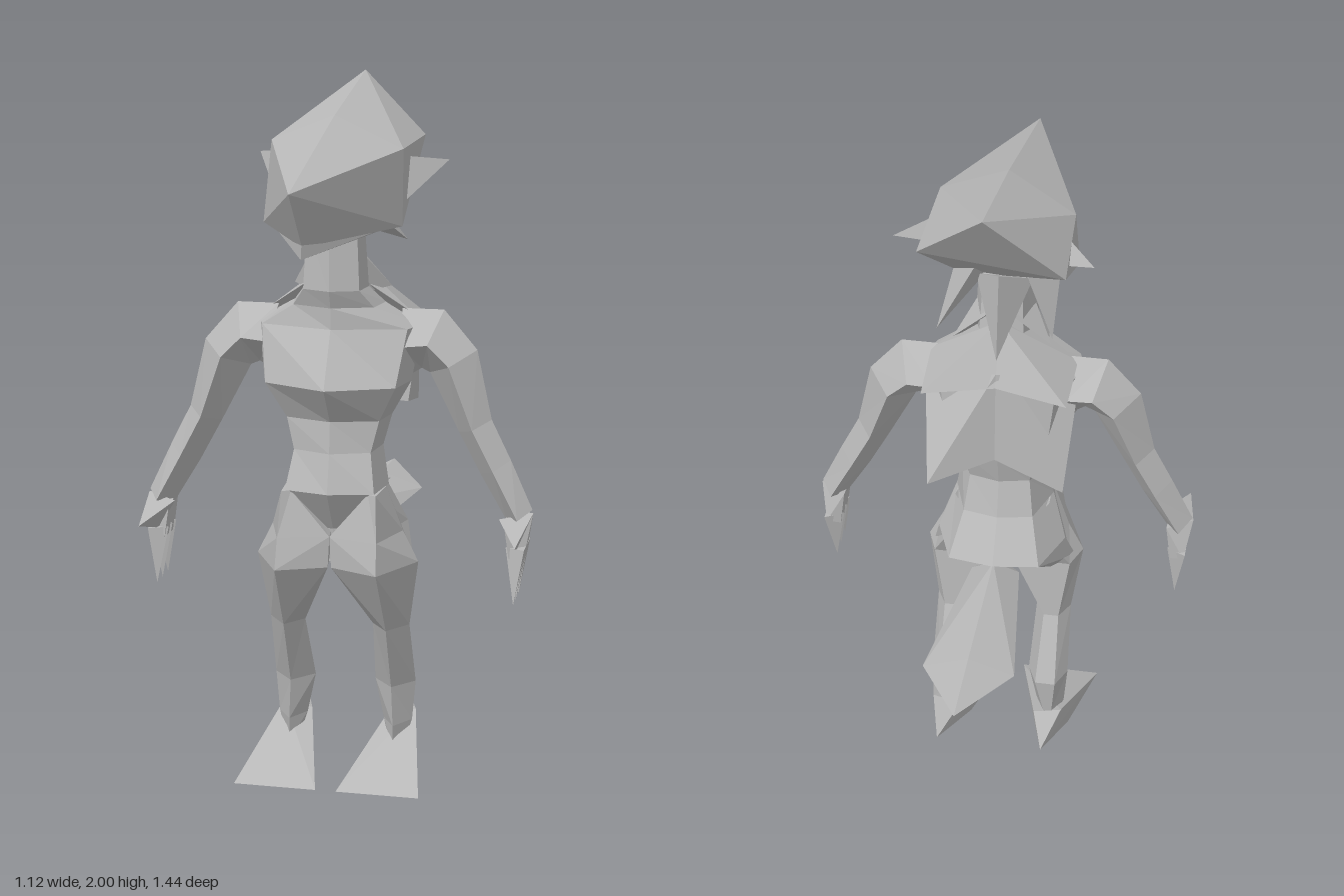
import * as THREE from 'three';
import { ConvexGeometry } from 'three/addons/geometries/ConvexGeometry.js';

const V = (p) => new THREE.Vector3(...p);

// Faceted skin over a list of rings (arrays of [x, y, z]), capped at both ends
function loft(rings) {
  const tris = [];
  const n = rings[0].length;
  for (let r = 0; r + 1 < rings.length; r++) {
    for (let i = 0; i < n; i++) {
      const j = (i + 1) % n;
      const [a, b, c, d] = [rings[r][i], rings[r][j], rings[r + 1][j], rings[r + 1][i]];
      tris.push([a, b, c], [a, c, d]);
    }
  }
  const last = rings[rings.length - 1];
  for (let i = 1; i + 1 < n; i++) {
    tris.push([rings[0][0], rings[0][i + 1], rings[0][i]], [last[0], last[i], last[i + 1]]);
  }
  // Turn the faces outward if the enclosed volume comes out negative
  let volume = 0;
  for (const [a, b, c] of tris) volume += V(a).dot(V(b).cross(V(c)));
  if (volume < 0) tris.forEach((t) => t.reverse());
  const g = new THREE.BufferGeometry();
  g.setAttribute('position', new THREE.Float32BufferAttribute(tris.flat(2), 3));
  g.computeVertexNormals();
  return g;
}

// Faceted solid around a few corner points
const hull = (points) => new ConvexGeometry(points.map(V));

export function createModel() {
  const model = new THREE.Group();
  model.name = 'creature';
  const grey = new THREE.MeshStandardMaterial({ color: 0xb8b8b8 });
  grey.name = 'grey';
  const add = (name, geometry) => {
    const m = new THREE.Mesh(geometry, grey);
    m.name = name;
    model.add(m);
  };

  // Torso and neck: y, half width, front z, front corner z, side z, back z
  const torso = [
    [1.62, 0.08, 0.24, 0.21, 0.15, 0.05],
    [1.44, 0.09, 0.25, 0.22, 0.14, 0.02],
    [1.39, 0.13, 0.23, 0.19, 0.1, -0.02],
    [1.33, 0.235, 0.23, 0.18, 0.1, -0.04],
    [1.175, 0.21, 0.32, 0.24, 0.13, -0.05],
    [1.07, 0.15, 0.24, 0.2, 0.1, -0.02],
    [0.98, 0.125, 0.25, 0.21, 0.1, 0],
    [0.87, 0.145, 0.28, 0.25, 0.12, -0.03],
    [0.75, 0.19, 0.2, 0.16, 0.06, -0.11],
    [0.65, 0.215, 0.19, 0.16, 0.11, 0.02],
  ];
  add('torso', loft(torso.map(([y, w, f, c, s, b]) => [
    [0, y, f], [w * 0.88, y, c], [w, y, s], [w * 0.7, y, b + 0.02],
    [0, y, b], [-w * 0.7, y, b + 0.02], [-w, y, s], [-w * 0.88, y, c],
  ])));

  // Wedge-shaped head with a long snout and a raised, slightly uneven rear crest
  add('head', hull([
    [0, 2, -0.25], [0, 1.915, 0.17], [0, 1.775, 0.72], [0, 1.615, 0.57], [0, 1.62, 0.1],
    [0.195, 1.83, -0.15], [0.195, 1.83, 0.19], [-0.195, 1.74, -0.08], [-0.195, 1.835, 0.1],
    ...[1, -1].flatMap((s) => [[s * 0.195, 1.62, 0.2], [s * 0.15, 1.61, 0.13]]),
  ]));
  add('jaw', hull([
    [0, 1.585, 0.585], [0, 1.63, 0.575], [0, 1.575, 0.2],
    ...[1, -1].flatMap((s) => [[s * 0.17, 1.625, 0.22], [s * 0.13, 1.6, 0.14]]),
  ]));

  // Tail
  add('tail', hull([
    [0, 0.72, -0.72], [0, 0.635, -0.5], [0, 0.735, -0.5],
    [0.13, 0.69, -0.5], [-0.13, 0.69, -0.5],
    [0.07, 0.69, -0.05], [-0.07, 0.69, -0.05], [0, 0.75, -0.09], [0, 0.65, 0.05],
  ]));

  // Strand of hair down the nape
  add('napeHair', hull([
    [0, 1.43, -0.04], [0.08, 1.62, 0.1], [-0.08, 1.62, 0.1], [0, 1.68, 0],
  ]));

  // Leg rings: y, inner x, ridge x, outer x, front z, outer z, inner z, back z
  const leg = [
    [0.87, 0.11, 0.135, 0.143, 0.265, 0.15, 0.25, 0.06],
    [0.74, 0, 0.142, 0.19, 0.29, 0.14, 0.25, 0.02],
    [0.65, 0.005, 0.145, 0.235, 0.31, 0.14, 0.25, 0.06],
    [0.45, 0.1, 0.15, 0.205, 0.185, 0.11, 0.12, 0.05],
    [0.25, 0.09, 0.15, 0.21, 0.1, 0.03, 0.03, -0.04],
    [0.13, 0.115, 0.155, 0.2, 0.1, 0.03, 0.03, -0.03],
    [0.06, 0.135, 0.155, 0.18, 0.1, 0.05, 0.05, 0],
  ];
  // Arm rings with a diamond section: center x, y, z, half thickness, half depth
  const arm = [
    [0.19, 1.28, 0.1, 0.095, 0.09],
    [0.265, 1.29, 0.1, 0.09, 0.1],
    [0.325, 1.23, 0.105, 0.075, 0.09],
    [0.39, 1.05, 0.115, 0.05, 0.065],
    [0.45, 0.935, 0.12, 0.048, 0.062],
    [0.522, 0.8, 0.13, 0.04, 0.06],
  ];
  const armRings = arm.map(([x, y, z, t, d], i) => {
    const a = arm[Math.max(i - 1, 0)];
    const b = arm[Math.min(i + 1, arm.length - 1)];
    const angle = Math.atan2(b[1] - a[1], b[0] - a[0]) + Math.PI / 2;
    return Array.from({ length: 4 }, (_, k) => {
      const q = (k * Math.PI) / 2;
      const r = t * Math.cos(q);
      return [x + Math.cos(angle) * r, y + Math.sin(angle) * r, z + d * Math.sin(q)];
    });
  });

  for (const s of [1, -1]) {
    const side = s > 0 ? 'left' : 'right';
    const flip = (pts) => pts.map(([x, y, z]) => [s * x, y, z]);
    const part = (name, pts) => add(side + name, hull(flip(pts)));

    // Legs and long flat feet
    add(side + 'Leg', loft(leg.map(([y, xi, xf, xo, zf, zo, zi, zb]) => flip([
      [xf, y, zf], [xo, y, zo], [xo - 0.03, y, zb], [xi + 0.03, y, zb], [xi, y, zi],
    ]))));
    part('Foot', [
      [0.03, 0, 0.31], [0.27, 0, 0.31], [0.1, 0, 0.07], [0.21, 0, 0.07],
      [0.16, 0.11, -0.185], [0.115, 0.12, -0.03], [0.2, 0.14, -0.03], [0.155, 0.068, 0.1],
    ]);

    // Arms, palms and claws
    add(side + 'Arm', loft(armRings.map(flip)));
    part('Palm', [
      [0.485, 0.8, 0.09], [0.56, 0.81, 0.13], [0.485, 0.79, 0.19],
      [0.5, 0.69, 0.19], [0.54, 0.69, 0.17], [0.5, 0.69, 0.09], [0.54, 0.7, 0.08],
    ]);
    for (const [base, tip] of [[0.18, 0.21], [0.14, 0.155], [0.1, 0.1]]) {
      part('Finger', [
        [0.518, 0.56, tip], [0.49, 0.72, base], [0.545, 0.72, base + 0.025], [0.545, 0.72, base - 0.03],
      ]);
    }
    part('Thumb', [[0.535, 0.76, 0.325], [0.47, 0.8, 0.18], [0.56, 0.81, 0.13], [0.52, 0.71, 0.16]]);

    // Ears, the right one set further back
    const back = s > 0 ? 0 : 0.06;
    part('Ear', [
      s > 0 ? [0.29, 1.78, 0] : [0.27, 1.78, -0.07],
      [0.18, 1.67, 0.16 - back], [0.18, 1.8, 0.1 - back], [0.18, 1.74, 0.05 - back],
    ]);

    // Spiky mane: below the head, on the neck, the shoulders and the back
    part('HeadHair', [
      [0.16, 1.54, -0.07], [0.04, 1.62, 0.16], [0.15, 1.61, 0.13], [0.07, 1.69, 0.02],
    ]);
    part('NeckHair', [[0.14, 1.43, 0.06], [0.05, 1.57, 0.18], [0.03, 1.54, 0.03], [0.07, 1.42, 0.15]]);
    part('ShoulderMane', [
      [0.205, 1.33, -0.09], [0, 1.52, 0.02], [0.08, 1.45, 0.13], [0, 1.35, -0.06], [0.21, 1.36, 0.1],
    ]);
    part('BackMane', [
      s > 0 ? [0.18, 1.06, -0.15] : [0.195, 1.01, -0.06],
      [0, 1.39, -0.05], [0.22, 1.32, 0.06], [0.19, 1.1, 0.07], [0, 1.11, -0.07], [0, 1.11, 0.05],
    ]);
  }
  return model;
}
